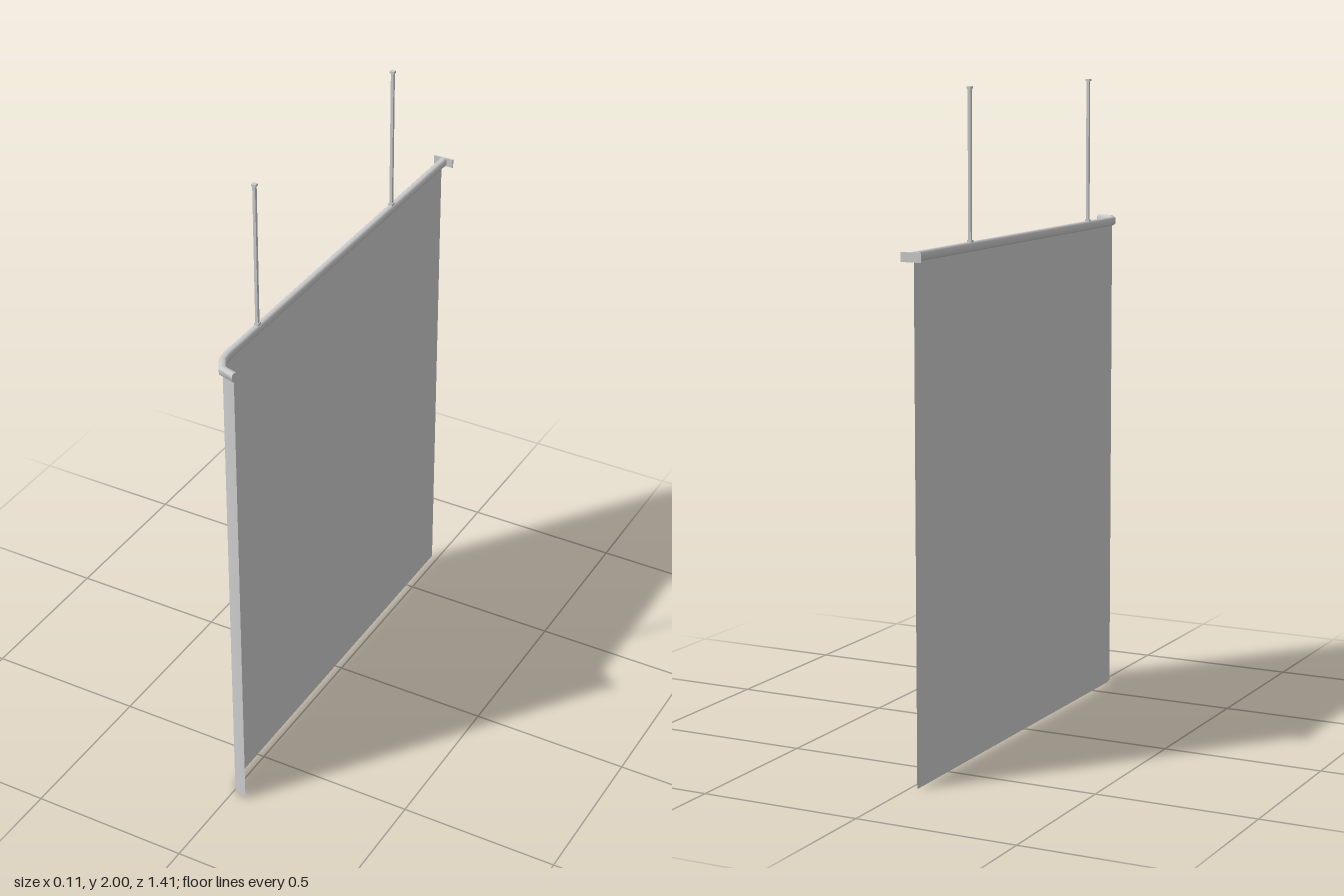
import * as THREE from 'three';
import { toCreasedNormals } from 'three/addons/utils/BufferGeometryUtils.js';

// Shared plan path [x, z]: a straight run that bends at the front end
const PATH = [[-0.023, -0.705], [-0.023, 0.61], [-0.018, 0.643], [0.006, 0.683], [0.053, 0.696]]
  .map(([x, z]) => new THREE.Vector2(x, z));

// Mitred sideways offset vector at each path point
function miters(path) {
  return path.map((p, i) => {
    const a = path[Math.max(i - 1, 0)], b = path[Math.min(i + 1, path.length - 1)];
    const normal = (s, e) => new THREE.Vector2(e.y - s.y, s.x - e.x).normalize();
    const n1 = i > 0 ? normal(a, p) : normal(p, b);
    const n2 = i < path.length - 1 ? normal(p, b) : n1;
    const m = n1.clone().add(n2).normalize();
    return m.divideScalar(m.dot(n1));
  });
}

// Sweep a [side, height] profile along a plan path; closed profiles get end caps
function sweep(path, profile, closed) {
  const pos = [], index = [], n = profile.length, side = miters(path);
  path.forEach((p, i) => profile.forEach(([s, y]) =>
    pos.push(p.x + side[i].x * s, y, p.y + side[i].y * s)));
  for (let i = 0; i < path.length - 1; i++) {
    for (let j = 0; j < (closed ? n : n - 1); j++) {
      const a = i * n + j, b = i * n + (j + 1) % n;
      index.push(a, b, b + n, a, b + n, a + n);
    }
  }
  if (closed) {
    const last = (path.length - 1) * n;
    for (let j = 1; j < n - 1; j++) index.push(0, j + 1, j, last, last + j, last + j + 1);
  }
  const g = new THREE.BufferGeometry();
  g.setAttribute('position', new THREE.Float32BufferAttribute(pos, 3));
  g.setIndex(index);
  g.computeVertexNormals();
  return g;
}

export function createModel() {
  const group = new THREE.Group();
  const grey = new THREE.MeshStandardMaterial({ color: 0xcccccc });
  const cloth = new THREE.MeshStandardMaterial({ color: 0xcccccc, side: THREE.DoubleSide });
  const add = (name, geometry, material, x = 0, y = 0, z = 0, parent = group) => {
    const mesh = new THREE.Mesh(geometry, material);
    mesh.name = name;
    mesh.position.set(x, y, z);
    parent.add(mesh);
  };

  // Rail with rounded corners
  const w = 0.0105, h = 0.014, c = 0.005;
  const profile = [[w, c - h], [w, h - c], [w - c, h], [c - w, h],
    [-w, h - c], [-w, c - h], [c - w, -h], [w - c, -h]]
    .map(([s, y]) => [s, y + 1.538]);
  add('rail', toCreasedNormals(sweep(PATH, profile, true), 1.0), grey);

  // Wall plate at the back end
  add('wallPlate', new THREE.BoxGeometry(0.065, 0.028, 0.005), grey, -0.023, 1.538, -0.7045);

  // Hanging sheet
  const sheetPath = PATH.map(p => p.clone());
  sheetPath[0].y = -0.69;
  sheetPath[4].set(0.049, 0.695);
  add('curtain', sweep(sheetPath, [[0, 0], [0, 1.528]], false), cloth);

  // Square ceiling rods with a small flange at each end
  for (const [name, z] of [['frontRod', 0.446], ['backRod', -0.354]]) {
    const rod = new THREE.Group();
    rod.name = name;
    rod.position.set(-0.023, 0, z);
    group.add(rod);
    add('shaft', new THREE.BoxGeometry(0.009, 0.45, 0.009), grey, 0, 1.775, 0, rod);
    for (const y of [1.554, 1.9965]) {
      add('flange', new THREE.BoxGeometry(0.014, 0.007, 0.014), grey, 0, y, 0, rod);
    }
  }
  return group;
}
